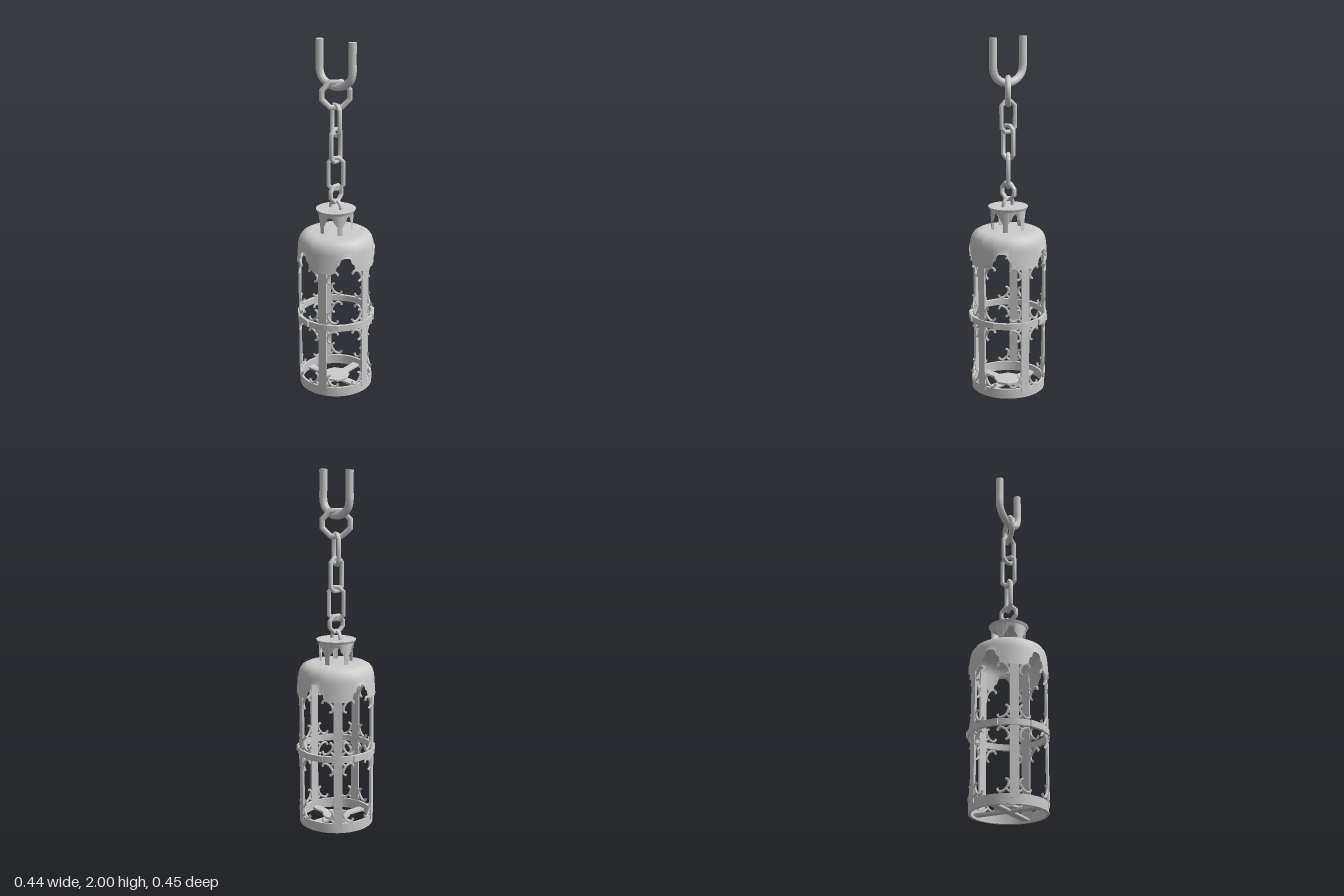
import * as THREE from 'three';
import { toCreasedNormals } from 'three/addons/utils/BufferGeometryUtils.js';

const RAD = Math.PI / 180;
const iron = new THREE.MeshStandardMaterial({ color: 0xcccccc, side: THREE.DoubleSide });
iron.name = 'light grey iron';

// Point on a cylinder: azimuth 0 faces +z, 90 faces +x
const polar = (r, deg, y) => new THREE.Vector3(r * Math.sin(deg * RAD), y, r * Math.cos(deg * RAD));

function add(parent, name, geometry, crease = 0) {
  const mesh = new THREE.Mesh(crease ? toCreasedNormals(geometry, crease) : geometry, iron);
  mesh.name = name;
  parent.add(mesh);
  return mesh;
}

// Flat band with a rectangular section
function band(ri, ro, y0, y1) {
  const p = [[ri, y0], [ro, y0], [ro, y1], [ri, y1], [ri, y0]].map(a => new THREE.Vector2(...a));
  return new THREE.LatheGeometry(p, 40);
}

// Surface of revolution whose lower edge follows five repeated arches.
// edge: [degrees from arch centre, y] for half an arch
function scalloped(profile, edge, rBottom, firstArch) {
  const columns = [];
  for (let k = 0; k < 5; k++) {
    const c = firstArch + 72 * k;
    for (let i = edge.length - 1; i > 0; i--) columns.push([c - edge[i][0], edge[i][1]]);
    for (let i = 0; i < edge.length - 1; i++) columns.push([c + edge[i][0], edge[i][1]]);
  }
  columns.push([columns[0][0] + 360, columns[0][1]]);
  const rows = profile.length + 1, pos = [], index = [];
  columns.forEach(([deg, low], i) => {
    for (const [r, y] of [...profile, [rBottom, low]]) pos.push(...polar(r, deg, y).toArray());
    if (i === columns.length - 1) return;
    for (let j = 0; j < rows - 1; j++) {
      const a = i * rows + j, b = a + rows;
      index.push(a, a + 1, b, b, a + 1, b + 1);
    }
  });
  const g = new THREE.BufferGeometry();
  g.setAttribute('position', new THREE.Float32BufferAttribute(pos, 3));
  g.setIndex(index);
  g.computeVertexNormals();
  return g;
}

// Eight-sided chain link, its halves pulled apart to give straight sides
function link(parent, name, y, radius, tube, stretch, yaw) {
  const g = new THREE.TorusGeometry(radius, tube, 8, 8);
  g.rotateZ(Math.PI / 8);
  const p = g.attributes.position;
  for (let i = 0; i < p.count; i++) p.setY(i, p.getY(i) + Math.sign(p.getY(i)) * stretch);
  const m = add(parent, name, g, 0.9);
  m.position.y = y;
  m.rotation.y = yaw * RAD;
}

export function createModel() {
  const model = new THREE.Group();
  model.name = 'hanging lantern';

  // Base and middle bands
  add(model, 'baseRing', band(0.196, 0.21, 0, 0.055), 0.6);
  add(model, 'middleRing', band(0.204, 0.22, 0.415, 0.45), 0.6);

  // Crossed floor bars and candle plate
  for (const yaw of [0, 90]) {
    const bar = add(model, 'floorBar', new THREE.BoxGeometry(0.4, 0.012, 0.045));
    bar.position.y = 0.016 + yaw * 0.00002;
    bar.rotation.y = yaw * RAD;
  }
  const plate = add(model, 'candlePlate', new THREE.CylinderGeometry(0.08, 0.08, 0.012, 8), 0.6);
  plate.position.y = 0.028;

  // Five upright posts
  for (let k = 0; k < 5; k++) {
    const az = 90 + 72 * k;
    const post = add(model, 'post', new THREE.BoxGeometry(0.048, 0.83, 0.012));
    post.position.copy(polar(0.206, az, 0.445));
    post.rotation.y = az * RAD;

    // Flat plate on the middle band, between two posts
    const clasp = add(model, 'bandPlate', new THREE.BoxGeometry(0.1, 0.035, 0.008));
    clasp.position.copy(polar(0.217, az + 36, 0.4325));
    clasp.rotation.y = (az + 36) * RAD;

    // Scrolls in the corners of each panel: [band edge, up or down]
    for (const [y, dir] of [[0.055, 1], [0.415, -1], [0.45, 1], [0.775, -1]]) {
      for (const side of [-1, 1]) {
        const place = ([u, v]) => polar(0.207, az + side * (u + 0.022) / 0.207 / RAD, y + dir * v);
        const scroll = [[0.024, 0.077], [0.01, 0.07], [0.007, 0.053], [0.014, 0.035],
          [0.028, 0.018], [0.045, 0.009], [0.06, 0.012], [0.066, 0.027]].map(place);
        add(model, 'scroll', new THREE.TubeGeometry(new THREE.CatmullRomCurve3(scroll), 12, 0.0075, 6));
        const stem = [[-0.004, 0.002], [0.022, 0.026]].map(place);
        add(model, 'scrollStem', new THREE.TubeGeometry(new THREE.LineCurve3(...stem), 1, 0.007, 6));
      }
    }
  }

  // Domed cap with a scalloped skirt, outer and inner skins
  const dome = [[0.001, 0.937], [0.14, 0.937], [0.168, 0.934], [0.19, 0.922],
    [0.204, 0.903], [0.211, 0.88], [0.214, 0.86]];
  const skirt = [[0, 0.85], [5, 0.847], [8, 0.835], [9.5, 0.812], [12.5, 0.806], [14, 0.795],
    [15, 0.772], [20, 0.764], [28, 0.759], [36, 0.757]];
  add(model, 'cap', scalloped(dome, skirt, 0.221, 126));
  add(model, 'capLining', scalloped(dome.map(([r, y]) => [r * 0.97, y - 0.006]), skirt, 0.214, 126));

  // Vent with five arched openings between narrow legs, and its lid
  const vent = [[0, 1.038], [8, 1.035], [13, 1.022], [15, 1.008], [20, 1.004], [23, 0.994],
    [27, 0.985], [28, 0.93], [36, 0.93]];
  add(model, 'vent', scalloped([[0.102, 1.062], [0.099, 1.045]], vent, 0.094, -54));
  add(model, 'ventLining', scalloped([[0.095, 1.062], [0.092, 1.045]], vent, 0.087, -54));
  const lid = add(model, 'ventLid', new THREE.CylinderGeometry(0.112, 0.106, 0.014, 40), 0.6);
  lid.position.y = 1.063;

  // Loop on the lid
  const loop = add(model, 'lidLoop', new THREE.TorusGeometry(0.036, 0.011, 8, 8, Math.PI), 0.9);
  loop.position.y = 1.08;
  for (const s of [-1, 1]) {
    const foot = add(model, 'loopFoot', new THREE.CylinderGeometry(0.011, 0.011, 0.02, 8), 0.9);
    foot.position.set(s * 0.036, 1.07, 0);
  }

  // Chain, from the bottom up
  link(model, 'bottomLink', 1.155, 0.05, 0.013, -0.002, 90);
  link(model, 'chainLink', 1.27, 0.044, 0.013, 0.049, 45);
  link(model, 'chainLink', 1.43, 0.042, 0.013, 0.052, 90);
  link(model, 'chainLink', 1.57, 0.044, 0.013, 0.043, -20);
  link(model, 'topRing', 1.71, 0.082, 0.016, -0.007, 45);

  // U-shaped hanger with closed ends
  const half = [[0.113, 2], [0.113, 1.9], [0.113, 1.835], [0.098, 1.795], [0.055, 1.764]];
  const path = [...half.map(([x, y]) => [-x, y]), [0, 1.753], ...half.slice().reverse()]
    .map(([x, y]) => new THREE.Vector3(x, y, 0));
  add(model, 'hanger', new THREE.TubeGeometry(new THREE.CatmullRomCurve3(path), 28, 0.022, 10));
  for (const s of [-1, 1]) {
    const end = add(model, 'hangerEnd', new THREE.CircleGeometry(0.022, 10));
    end.rotation.x = -Math.PI / 2;
    end.position.set(s * 0.113, 2, 0);
  }
  return model;
}
